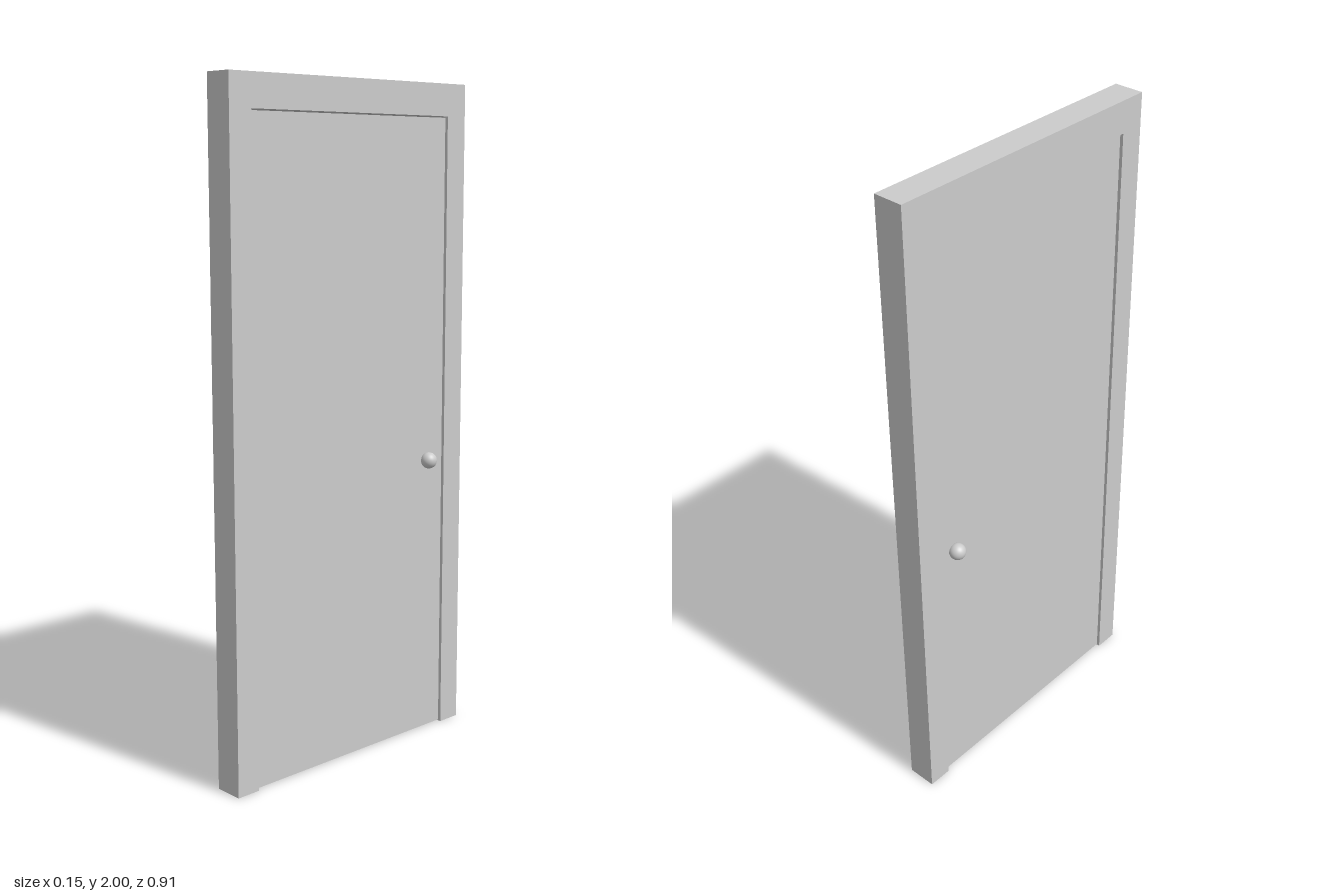
import * as THREE from 'three';

export function createModel() {
  const model = new THREE.Group();
  const material = new THREE.MeshStandardMaterial({ color: 0xcccccc });

  const add = (name, geometry, x, y, z) => {
    const mesh = new THREE.Mesh(geometry, material);
    mesh.name = name;
    mesh.position.set(x, y, z);
    model.add(mesh);
  };

  const depth = 0.09, halfWidth = 0.455, height = 2;
  const openHalf = 0.38, openTop = 1.905;

  // Frame: an arch-like outline open at the floor, extruded through the wall
  const outline = new THREE.Shape([
    [-halfWidth, 0], [-openHalf, 0], [-openHalf, openTop], [openHalf, openTop],
    [openHalf, 0], [halfWidth, 0], [halfWidth, height], [-halfWidth, height],
  ].map(([u, v]) => new THREE.Vector2(u, v)));
  const frame = new THREE.ExtrudeGeometry(outline, { depth, bevelEnabled: false });
  frame.translate(0, 0, -depth / 2).rotateY(Math.PI / 2);
  add('doorFrame', frame, 0, 0, 0);

  // Door leaf, slightly recessed, with a fine gap above and below
  const bottom = 0.003, top = openTop - 0.004;
  add('doorLeaf', new THREE.BoxGeometry(0.07, top - bottom, openHalf * 2), 0, (top + bottom) / 2, 0);

  // A round knob on each face
  for (const side of [-1, 1]) {
    add(side > 0 ? 'leftKnob' : 'rightKnob', new THREE.SphereGeometry(0.025, 32, 20), side * 0.048, 0.868, -0.31);
  }

  return model;
}
